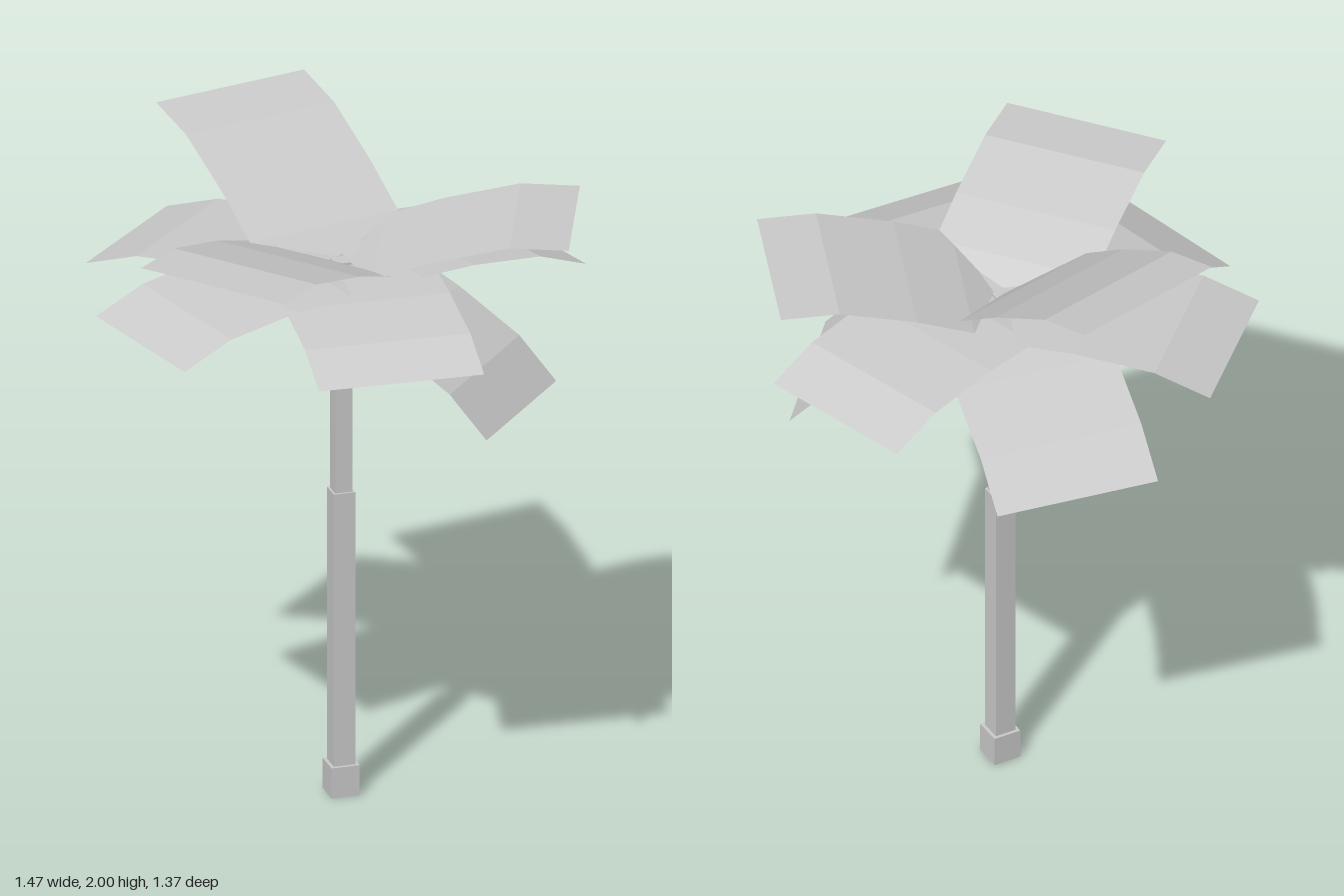
import * as THREE from 'three';

const BASE_Y = 1.68;
const HALF_WIDTH = 0.25;
// Frond cross-sections: [distance outward, height], pointed at the first one
const PROFILE = [[0.02, 0], [0.113, 0.046], [0.287, 0.108], [0.521, 0.167], [0.7, 0.167]];
// Tip centre of each frond: [x, y, z]
const TIPS = [
  [-0.14, 2.0, -0.63], [0.668, 1.59, -0.2], [0.635, 1.83, 0.25],
  [-0.53, 1.83, 0.423], [-0.495, 1.62, -0.515], [0.105, 1.38, -0.645],
  [-0.667, 1.56, 0.16], [-0.03, 1.56, 0.675], [0.43, 1.3, 0.383],
];

export function createModel() {
  const model = new THREE.Group();
  model.name = 'palmTree';
  const material = new THREE.MeshStandardMaterial({ color: 0xcccccc, flatShading: true });
  const leafMaterial = material.clone();
  leafMaterial.side = THREE.DoubleSide;

  // Square stepped trunk
  const addTrunk = (name, width, bottom, top) => {
    const mesh = new THREE.Mesh(new THREE.BoxGeometry(width, top - bottom, width), material);
    mesh.name = name;
    mesh.position.y = (bottom + top) / 2;
    model.add(mesh);
  };
  addTrunk('trunkBase', 0.086, 0, 0.095);
  addTrunk('lowerTrunk', 0.066, 0.095, 0.955);
  addTrunk('upperTrunk', 0.053, 0.955, BASE_Y);

  // One bent frond: pointed root followed by straight-sided bands
  const positions = [0, PROFILE[0][1], PROFILE[0][0]];
  const index = [0, 1, 2];
  PROFILE.slice(1).forEach(([out, up], i) => {
    positions.push(-HALF_WIDTH, up, out, HALF_WIDTH, up, out);
    const a = 1 + i * 2;
    if (i < PROFILE.length - 2) index.push(a, a + 2, a + 1, a + 1, a + 2, a + 3);
  });
  const frond = new THREE.BufferGeometry();
  frond.setAttribute('position', new THREE.Float32BufferAttribute(positions, 3));
  frond.setIndex(index);
  frond.computeVertexNormals();

  // Turn, pitch and stretch each frond so that it reaches its tip
  const [endOut, endUp] = PROFILE[PROFILE.length - 1];
  TIPS.forEach(([x, y, z], i) => {
    const reach = Math.hypot(x, z);
    const rise = y - BASE_Y;
    const mesh = new THREE.Mesh(frond, leafMaterial);
    mesh.name = `frond${i + 1}`;
    mesh.position.y = BASE_Y;
    const pitch = Math.atan2(rise, reach) - Math.atan2(endUp, endOut);
    mesh.rotation.set(-pitch, Math.atan2(x, z), 0, 'YXZ');
    const stretch = Math.hypot(reach, rise) / Math.hypot(endOut, endUp);
    mesh.scale.set(1, stretch, stretch);
    model.add(mesh);
  });
  return model;
}
